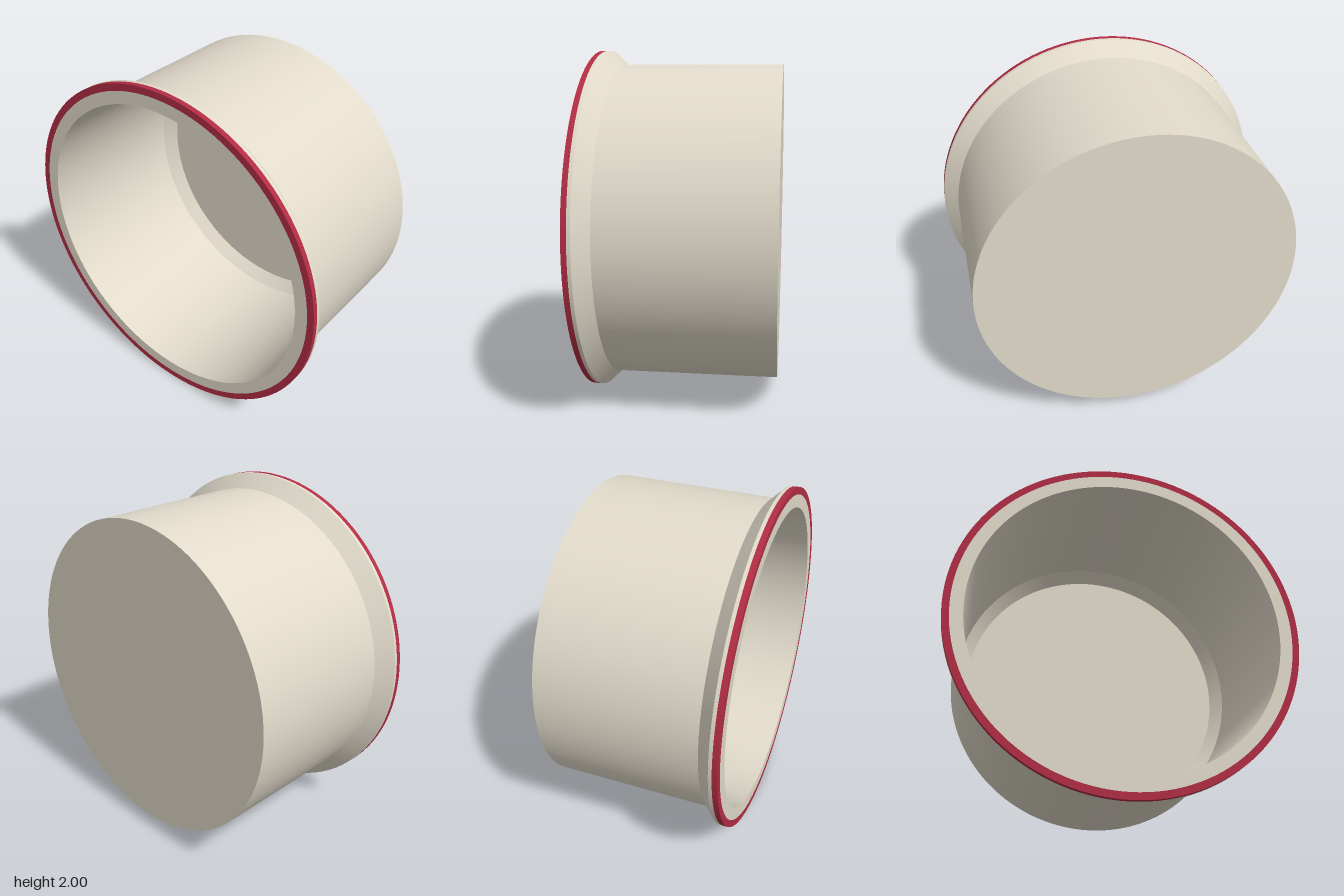
import * as THREE from 'three';
import { toCreasedNormals } from 'three/addons/utils/BufferGeometryUtils.js';

const beige = new THREE.MeshStandardMaterial({ color: 0xe2dbcb });
const red = new THREE.MeshStandardMaterial({ color: 0xb22d44 });

// Revolve a [radius, z] profile about the z axis, keeping its corners sharp
function turned(name, profile, material) {
  const points = profile.map(([r, z]) => new THREE.Vector2(r, z));
  const lathe = new THREE.LatheGeometry(points, 128).rotateX(Math.PI / 2);
  const mesh = new THREE.Mesh(toCreasedNormals(lathe, 0.5), material);
  mesh.name = name;
  return mesh;
}

export function createModel() {
  const model = new THREE.Group();
  model.name = 'cap';

  // Cup: closed back, straight wall, flared lip, hollow with a bevelled floor
  const cup = turned('cup', [
    [0, -0.53], [0.92, -0.53], [0.92, 0.4], [1, 0.48], [1, 0.5],
    [0.96, 0.5], [0.96, 0.53], [0.887, 0.53],
    [0.887, -0.435], [0.82, -0.5], [0, -0.5],
  ], beige);

  // Coloured ring set flush into the front edge of the lip
  const ring = turned('rimRing', [
    [0.96, 0.5], [1, 0.5], [1, 0.53], [0.96, 0.53], [0.96, 0.5],
  ], red);

  model.add(cup, ring);
  model.position.y = 1;
  return model;
}
